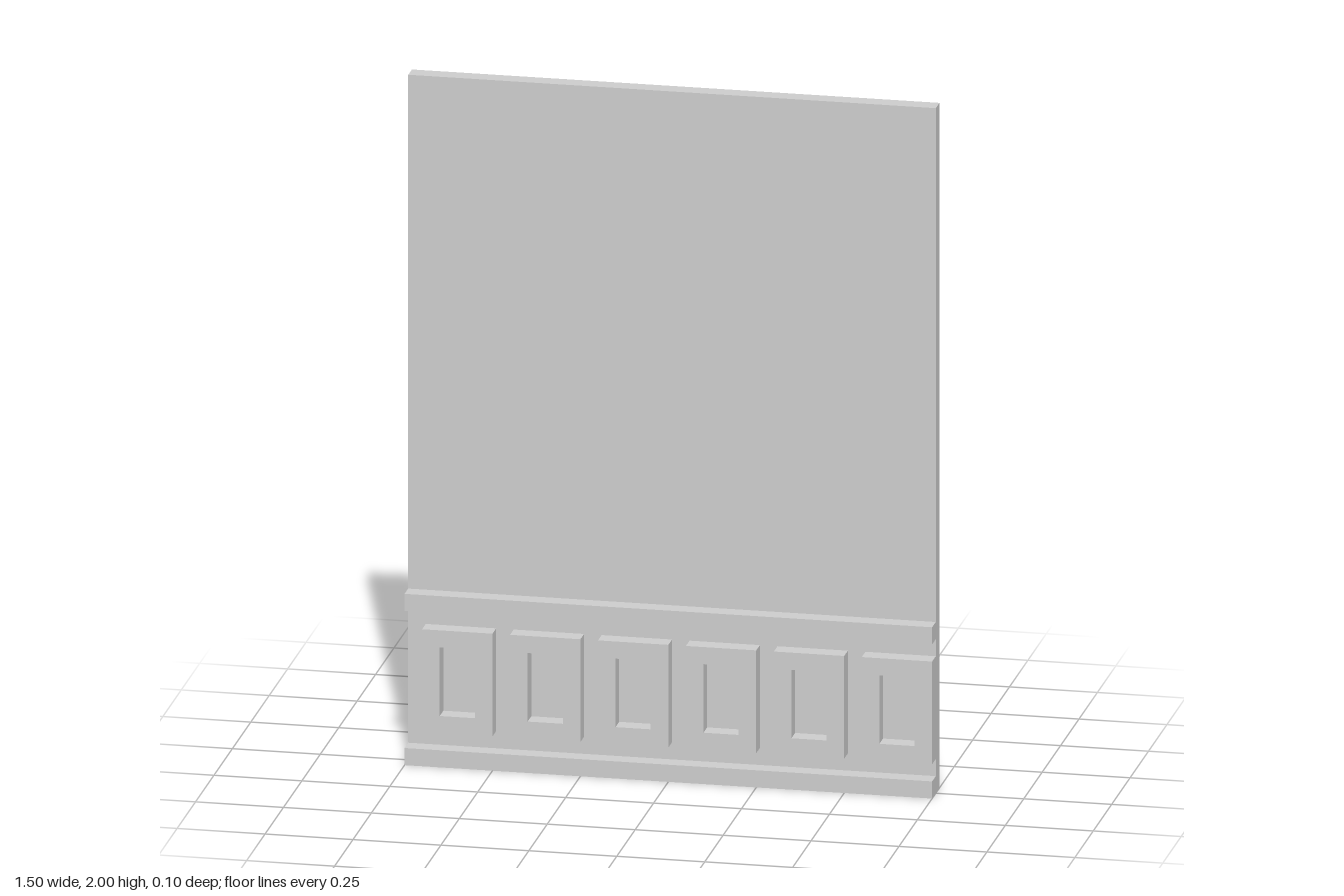
import * as THREE from 'three';

const material = new THREE.MeshStandardMaterial({ color: 0xcccccc, flatShading: true });

function add(group, name, geometry, x, y, z) {
  const mesh = new THREE.Mesh(geometry, material);
  mesh.name = name;
  mesh.position.set(x, y, z);
  group.add(mesh);
}

// Corners of a rectangle centred on the origin
function corners(w, h) {
  return [[-w, -h], [w, -h], [w, h], [-w, h]].map(([x, y]) => new THREE.Vector2(x / 2, y / 2));
}

export function createModel() {
  const group = new THREE.Group();
  group.name = 'wallPanel';

  // Flat wall slab
  add(group, 'wall', new THREE.BoxGeometry(1.5, 2, 0.05), 0, 1, -0.025);

  // Horizontal rails below and above the row of frames
  const rail = new THREE.BoxGeometry(1.5, 0.05, 0.05);
  add(group, 'bottomRail', rail, 0, 0.025, 0.025);
  add(group, 'topRail', rail, 0, 0.475, 0.025);

  // Row of raised frames, open to the wall behind; the last meets the left edge
  const shape = new THREE.Shape(corners(0.2, 0.3));
  shape.holes.push(new THREE.Path(corners(0.1, 0.2)));
  const frame = new THREE.ExtrudeGeometry(shape, { depth: 0.05, bevelEnabled: false });
  for (let i = 0; i < 6; i++) {
    add(group, `frame${i + 1}`, frame, -0.6 + i * 0.25, 0.25, 0);
  }

  return group;
}
